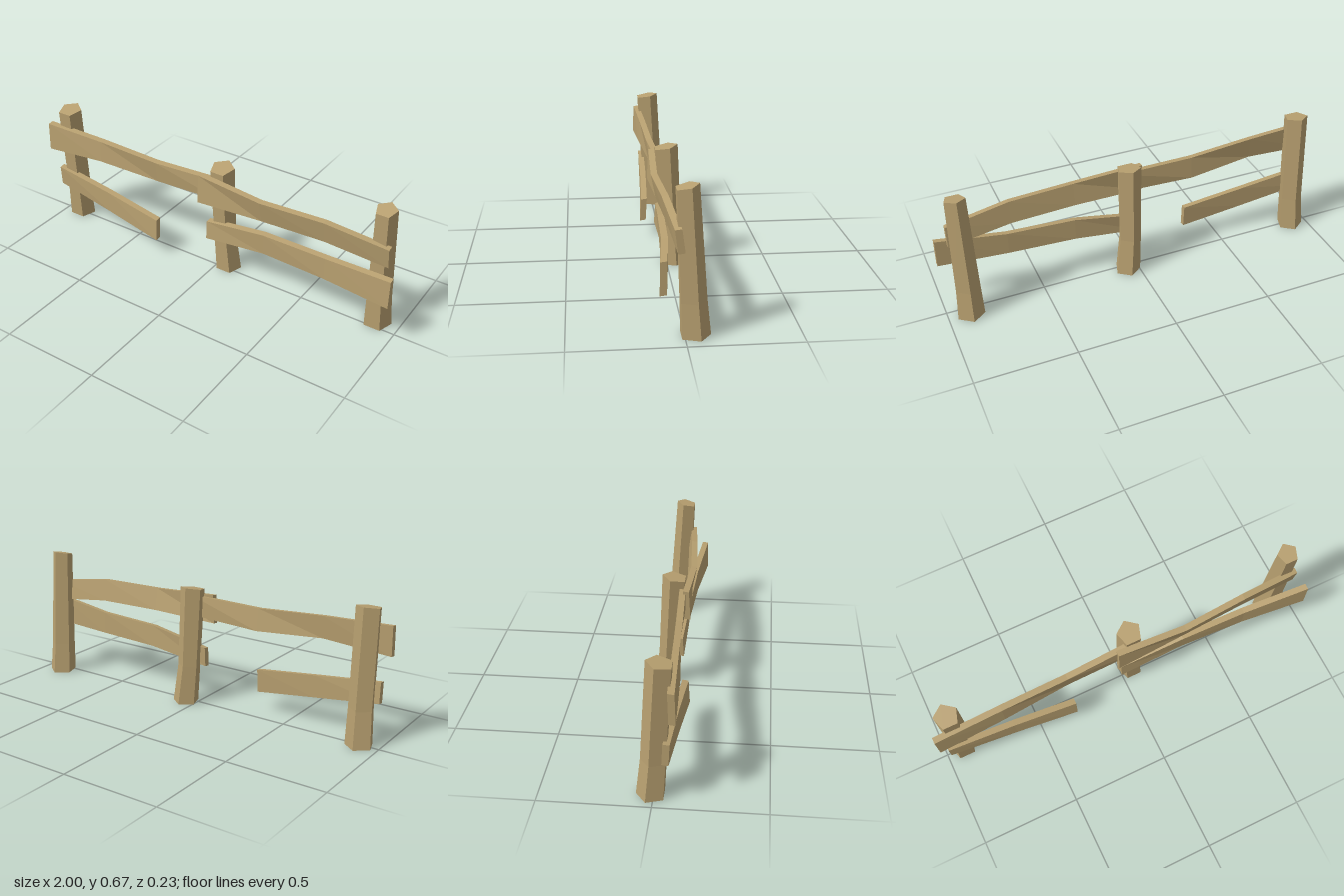
import * as THREE from 'three';

const wood = new THREE.MeshStandardMaterial({ color: 0xb8a070, flatShading: true });

// Skins a row of rings (each counter-clockwise about the direction of travel) and caps both ends
function loft(name, rings) {
  const n = rings[0].length;
  const index = [];
  for (let s = 0; s < rings.length - 1; s++) {
    for (let i = 0; i < n; i++) {
      const j = (i + 1) % n;
      const a = s * n + i, b = s * n + j, c = b + n, d = a + n;
      index.push(a, b, c, a, c, d);
    }
  }
  const last = (rings.length - 1) * n;
  for (let i = 1; i < n - 1; i++) {
    index.push(0, i + 1, i, last, last + i, last + i + 1);
  }
  const indexed = new THREE.BufferGeometry();
  indexed.setAttribute('position', new THREE.Float32BufferAttribute(rings.flat(2), 3));
  indexed.setIndex(index);
  const geometry = indexed.toNonIndexed();
  geometry.computeVertexNormals();
  const mesh = new THREE.Mesh(geometry, wood);
  mesh.name = name;
  return mesh;
}

// Five-sided post; sections are [centre x, y, centre z, radius, rise toward the back]
function post(name, sections) {
  return loft(name, sections.map(([x, y, z, r, rise]) =>
    Array.from({ length: 5 }, (_, i) => {
      const a = Math.PI / 2 + i * Math.PI * 2 / 5;
      return [x + r * Math.cos(a), y + rise * Math.sin(a), z - r * Math.sin(a)];
    })));
}

// Twisted board; sections are [x, top y, bottom y, top z, bottom z]
function rail(name, sections, thickness = 0.03) {
  const h = thickness / 2;
  return loft(name, sections.map(([x, top, bottom, zt, zb]) => [
    [x, top - 0.004, zt + h], [x, bottom, zb + h],
    [x, bottom + 0.004, zb - h], [x, top, zt - h],
  ]));
}

export function createModel() {
  const fence = new THREE.Group();
  fence.name = 'fence';

  // Posts, flared at the foot with sloping tops
  fence.add(
    post('leftPost', [
      [-0.907, 0, -0.01, 0.068, 0],
      [-0.902, 0.18, 0.004, 0.062, 0],
      [-0.9, 0.652, 0.03, 0.061, 0.01],
    ]),
    post('middlePost', [
      [0.058, 0, -0.025, 0.066, 0],
      [0.042, 0.2, -0.016, 0.058, 0],
      [0.036, 0.593, 0.005, 0.062, 0.011],
    ]),
    post('rightPost', [
      [0.89, 0, -0.043, 0.07, 0],
      [0.888, 0.16, -0.033, 0.063, 0],
      [0.89, 0.657, -0.006, 0.053, 0.011],
    ]),
  );

  // Upper rails, overlapping at the middle post
  fence.add(
    rail('upperLeftRail', [
      [-1, 0.57, 0.42, 0.083, 0.088],
      [-0.66, 0.56, 0.445, 0.07, 0.078],
      [-0.32, 0.54, 0.425, 0.058, 0.045],
      [0.07, 0.55, 0.44, 0.042, 0.045],
    ]),
    rail('upperRightRail', [
      [-0.055, 0.56, 0.408, 0.065, 0.073],
      [0.3, 0.535, 0.42, 0.08, 0.058],
      [0.63, 0.535, 0.42, 0.058, 0.04],
      [0.945, 0.493, 0.385, 0.032, 0.018],
    ]),
  );

  // Lower rails, the left one broken off short
  fence.add(
    rail('lowerLeftRail', [
      [-0.97, 0.305, 0.198, 0.06, 0.055],
      [-0.63, 0.262, 0.146, 0.07, 0.072],
      [-0.305, 0.216, 0.094, 0.086, 0.093],
    ]),
    rail('lowerRightRail', [
      [-0.027, 0.287, 0.185, 0.034, 0.04],
      [0.31, 0.34, 0.226, 0.05, 0.044],
      [0.65, 0.348, 0.229, 0.062, 0.062],
      [0.995, 0.378, 0.228, 0.096, 0.098],
    ]),
  );

  return fence;
}
